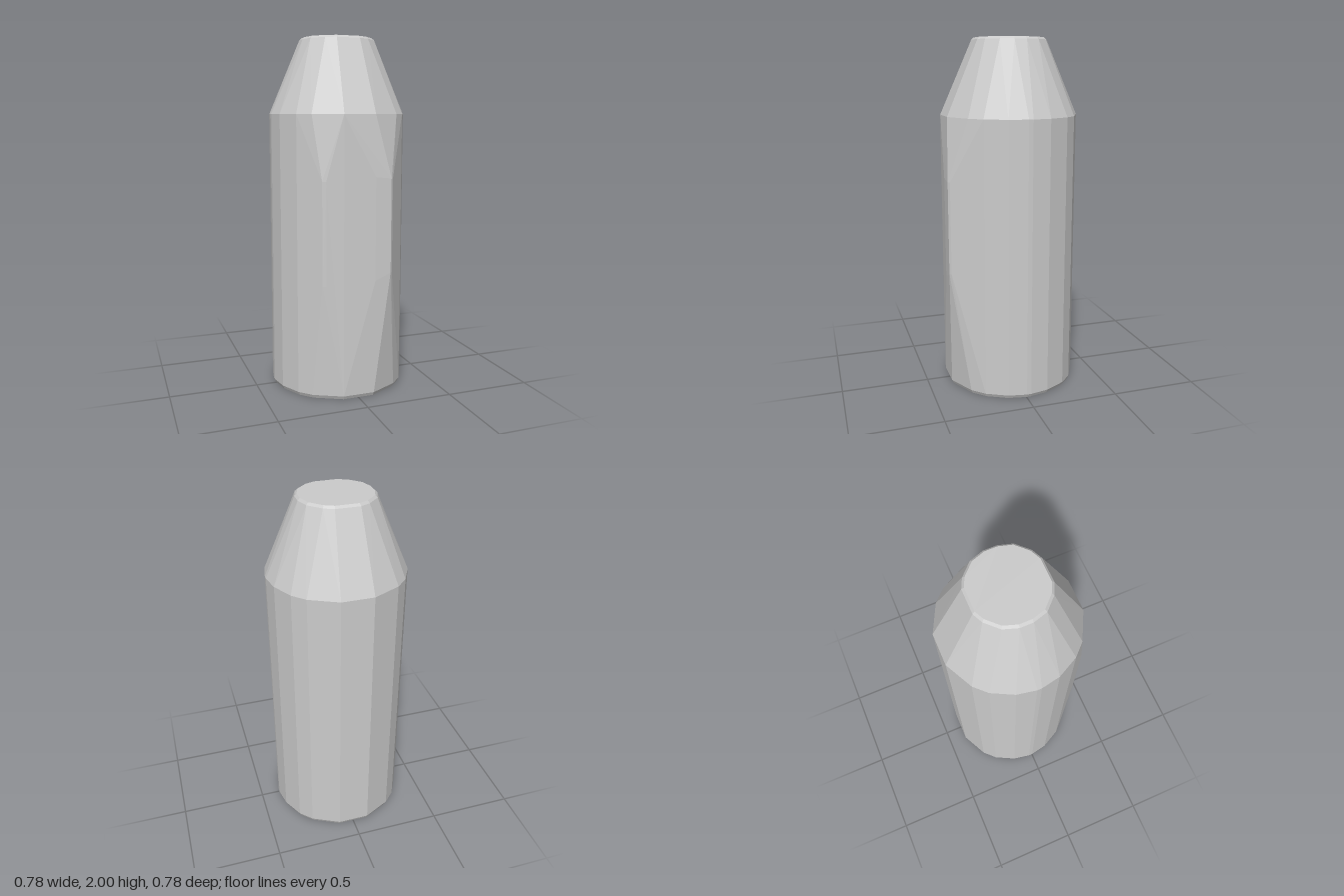
import * as THREE from 'three';
import { ConvexGeometry } from 'three/addons/geometries/ConvexGeometry.js';

// Half outlines [x, z], mirrored across x = 0
const BODY = [[0.09, -0.39], [0.245, -0.313], [0.31, -0.247], [0.37, -0.13], [0.39, -0.025],
  [0.39, 0], [0.37, 0.106], [0.31, 0.223], [0.245, 0.289], [0.09, 0.368]];
const NECK = [[0.067, -0.212], [0.12, -0.187], [0.185, -0.122], [0.21, -0.047],
  [0.21, 0.022], [0.188, 0.097], [0.125, 0.16], [0.067, 0.187]];
const CENTRE_Z = -0.012;

// Horizontal ring of points at height y, inset by a scale
function ring(outline, y, scale = 1) {
  return outline.flatMap(([x, z]) => [-1, 1].map((side) =>
    new THREE.Vector3(side * x * scale, y, CENTRE_Z + (z - CENTRE_Z) * scale)));
}

export function createModel() {
  const group = new THREE.Group();
  group.name = 'taperedCapsule';

  // Faceted barrel with a tapered neck and small bevels at both ends
  const points = [
    ...ring(BODY, 0, 0.975),
    ...ring(BODY, 0.02),
    ...ring(BODY, 1.575),
    ...ring(NECK, 1.988),
    ...ring(NECK, 2, 0.94),
  ];

  // Uneven swelling on the front: [x, z, low y, high y]
  const swelling = [[0.175, 0.39, 0.71, 1.23], [0.187, 0.38, 0.71, 1.23],
    [0.085, 0.389, 0.67, 1.24], [-0.185, 0.35, 0.65, 1.22], [-0.205, 0.342, 0.65, 1.22]];
  for (const [x, z, low, high] of swelling) {
    points.push(new THREE.Vector3(x, low, z), new THREE.Vector3(x, high, z));
  }

  const body = new THREE.Mesh(
    new ConvexGeometry(points),
    new THREE.MeshStandardMaterial({ color: 0xcccccc, flatShading: true }));
  body.name = 'body';
  group.add(body);
  return group;
}
